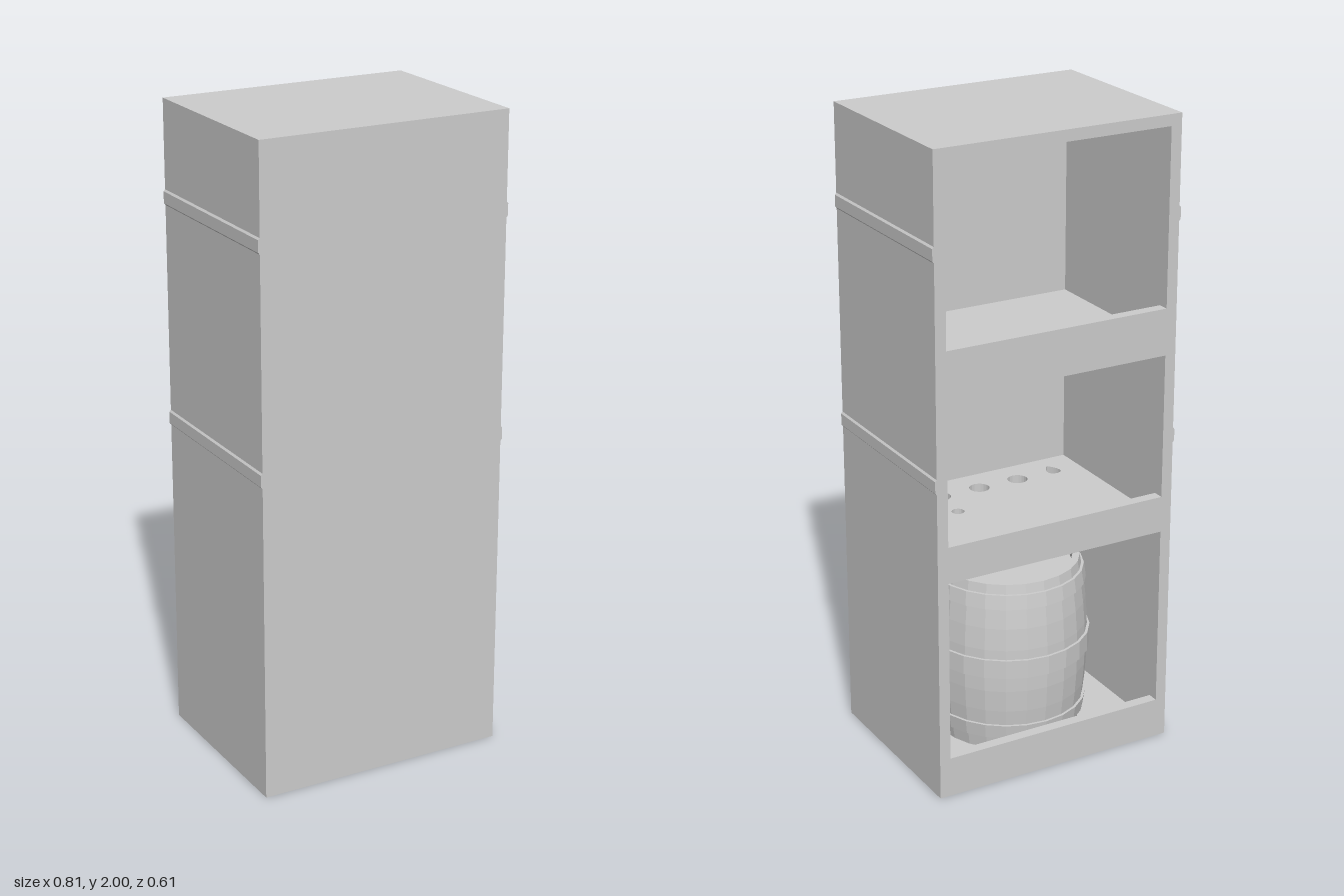
import * as THREE from 'three';

export function createModel() {
  const root = new THREE.Group();
  root.name = 'cabinet';
  const grey = new THREE.MeshStandardMaterial({ color: 0xcccccc });
  grey.name = 'plain grey';
  const facetedGrey = grey;

  const W = 0.4, D = 0.303, T = 0.035; // half width, half depth, board thickness
  const add = (name, geometry, parent = root) => {
    const mesh = new THREE.Mesh(geometry, grey);
    mesh.name = name;
    parent.add(mesh);
    return mesh;
  };
  // box given by its limits on each axis
  const board = (name, x0, x1, y0, y1, z0, z1) => {
    const m = add(name, new THREE.BoxGeometry(x1 - x0, y1 - y0, z1 - z0));
    m.position.set((x0 + x1) / 2, (y0 + y1) / 2, (z0 + z1) / 2);
    return m;
  };

  // Outer case, open at the back
  const I = W - T;
  board('frontPanel', -I, I, T, 2 - T, D - T, D);
  board('topPanel', -I, I, 2 - T, 2, -D, D);
  board('bottomPanel', -I, I, 0, T, -D, D);
  for (const s of [-1, 1]) {
    const wall = board(s > 0 ? 'leftWall' : 'rightWall', I, W, 0, 2, -D, D);
    wall.position.x *= s;
  }

  // Raised edge strips that keep things on each floor
  for (const [y0, y1] of [[T, 0.127], [0.705, 0.82], [1.274, 1.42]]) {
    board('shelfLip', -I, I, y0, y1, -D, -D + T);
  }

  // Plain upper shelf
  board('upperShelf', -I, I, 1.274, 1.312, -D + T, D - T);

  // Middle shelf with cut-outs; shape y is -z
  const plate = new THREE.Shape();
  plate.moveTo(-I, -D + T);
  plate.lineTo(I, -D + T);
  plate.lineTo(I, D - T);
  plate.lineTo(-I, D - T);
  plate.closePath();
  for (const [x, z, r] of [[0.137, 0.17, 0.032], [0, 0.17, 0.032], [-0.137, 0.17, 0.032], [0.144, 0.045, 0.02]]) {
    plate.holes.push(new THREE.Path().absarc(x, -z, r, 0, Math.PI * 2, true));
  }
  for (const s of [-1, 1]) {
    const drop = new THREE.Path();
    drop.moveTo(s * 0.27, -0.215);
    drop.quadraticCurveTo(s * 0.305, -0.17, s * 0.285, -0.155);
    drop.quadraticCurveTo(s * 0.27, -0.145, s * 0.255, -0.155);
    drop.quadraticCurveTo(s * 0.235, -0.17, s * 0.27, -0.215);
    plate.holes.push(drop);
  }
  const shelfGeo = new THREE.ExtrudeGeometry(plate, { depth: 0.045, bevelEnabled: false, curveSegments: 10 });
  shelfGeo.rotateX(-Math.PI / 2);
  add('middleShelf', shelfGeo).position.y = 0.705;

  // Chamfered rails along both sides
  for (const y of [1.015, 1.704]) {
    const profile = new THREE.Shape([
      new THREE.Vector2(-0.002, -0.026), new THREE.Vector2(0.005, -0.018),
      new THREE.Vector2(0.005, 0.018), new THREE.Vector2(-0.002, 0.026)]);
    for (const s of [-1, 1]) {
      const geo = new THREE.ExtrudeGeometry(profile, { depth: 2 * D, bevelEnabled: false });
      geo.translate(0, 0, -D);
      if (s < 0) geo.rotateY(Math.PI);
      add('sideRail', geo).position.set(s * W, y, 0);
    }
  }

  // Barrel in the lowest compartment
  const barrel = new THREE.Group();
  barrel.name = 'barrel';
  root.add(barrel);
  const y0 = T, y1 = 0.595, mid = (y0 + y1) / 2;
  const radius = y => 0.252 - 0.026 * ((y - mid) / (mid - y0)) ** 2;
  const lathe = pts => new THREE.LatheGeometry(pts.map(p => new THREE.Vector2(...p)), 24).toNonIndexed();
  const faceted = g => { g.computeVertexNormals(); return g; };

  // Body with a recessed lid
  const body = [[0, y0]];
  for (let i = 0; i <= 8; i++) {
    const y = y0 + (y1 - y0) * i / 8;
    body.push([radius(y), y]);
  }
  body.push([radius(y1) - 0.022, y1], [radius(y1) - 0.022, y1 - 0.03], [0, y1 - 0.03]);
  add('staves', faceted(lathe(body)), barrel);

  // Hoops
  for (const [a, b] of [[0.08, 0.125], [0.295, 0.355], [0.52, 0.565]]) {
    const e = 0.008;
    add('hoop', faceted(lathe([[radius(a) - e, a], [radius(a) + e, a], [radius(b) + e, b], [radius(b) - e, b]])), barrel);
  }
  return root;
}
